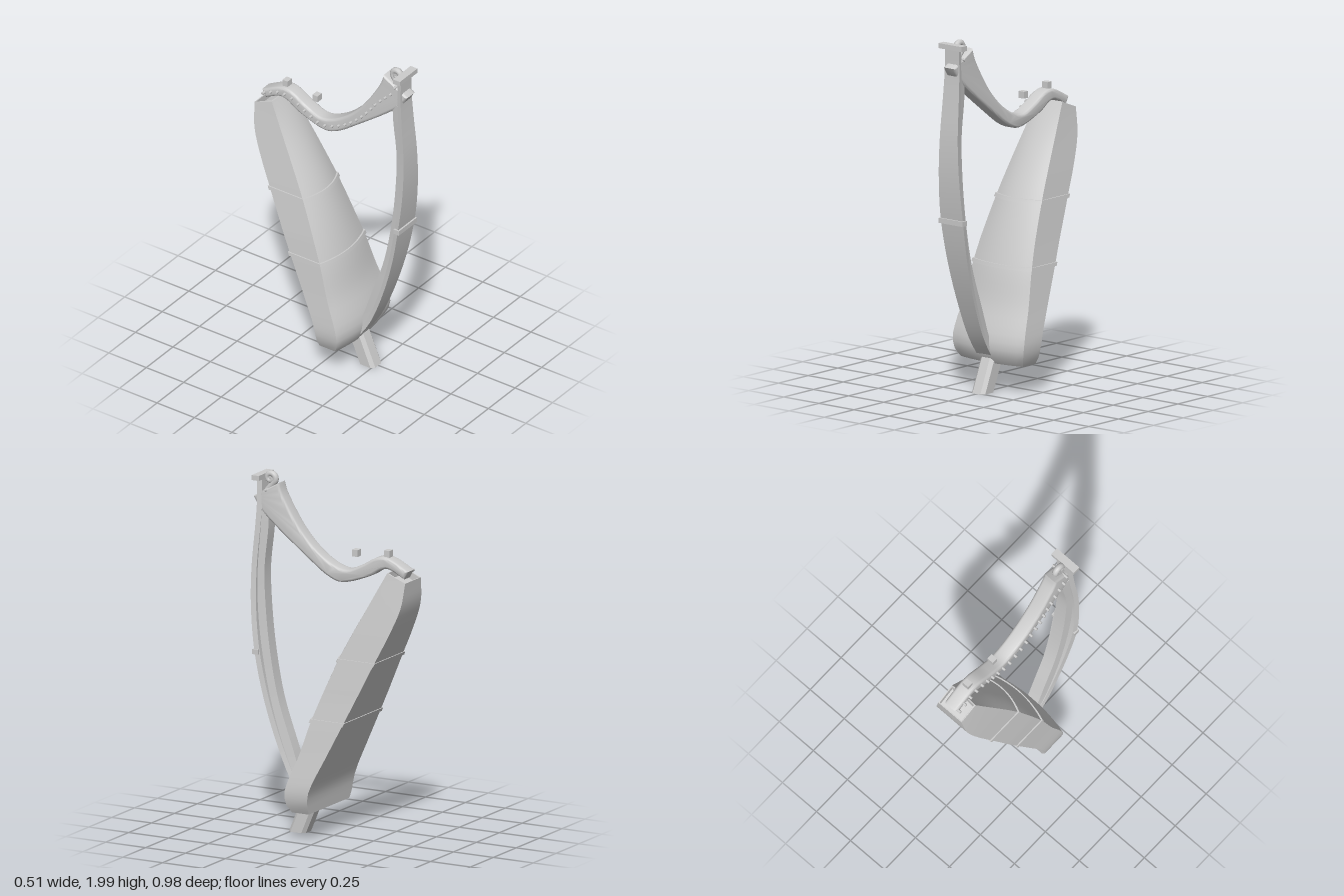
import * as THREE from 'three';
import { toCreasedNormals } from 'three/addons/utils/BufferGeometryUtils.js';

const CX = -0.01; // the neck and pillar sit slightly off the middle

// Smooth lookup in a table whose first column is the height
function table(rows) {
  const size = rows[0].length - 1;
  const curve = new THREE.CubicInterpolant(
    rows.map(r => r[0]), rows.flatMap(r => r.slice(1)), size, new Float32Array(size));
  return y => Array.from(curve.evaluate(y));
}

// Skin over closed rings, listed from bottom to top, with both ends capped
function loft(rings, crease = 0.6) {
  const n = rings[0].length;
  const pos = rings.flat(2);
  const idx = [];
  for (let i = 0; i < rings.length - 1; i++) {
    for (let j = 0; j < n; j++) {
      const k = (j + 1) % n;
      const a = i * n + j, b = i * n + k, c = b + n, d = a + n;
      idx.push(a, b, c, a, c, d);
    }
  }
  [0, rings.length - 1].forEach((r, end) => {
    const mid = pos.length / 3;
    for (let axis = 0; axis < 3; axis++) {
      pos.push(rings[r].reduce((s, p) => s + p[axis], 0) / n);
    }
    for (let j = 0; j < n; j++) {
      const a = r * n + j, b = r * n + (j + 1) % n;
      if (end) idx.push(mid, a, b); else idx.push(mid, b, a);
    }
  });
  const g = new THREE.BufferGeometry();
  g.setAttribute('position', new THREE.Float32BufferAttribute(pos, 3));
  g.setIndex(idx);
  return toCreasedNormals(g, crease);
}

const steps = (a, b, n) => Array.from({ length: n + 1 }, (_, i) => a + (b - a) * i / n);

// Sound box: height, front edge z, back z, half width, bulge of the front
const boxAt = table([
  [0.16, 0.135, 0.03, 0.222, 0.03],
  [0.20, 0.158, 0.027, 0.242, 0.032],
  [0.27, 0.165, 0.02, 0.254, 0.034],
  [0.33, 0.15, 0.0, 0.25, 0.034],
  [0.47, 0.095, -0.067, 0.232, 0.035],
  [0.68, 0.03, -0.168, 0.207, 0.04],
  [1.02, -0.11, -0.33, 0.162, 0.042],
  [1.21, -0.205, -0.42, 0.135, 0.034],
  [1.37, -0.29, -0.473, 0.111, 0.02],
  [1.53, -0.375, -0.488, 0.086, 0.004],
]);

function boxRing(y, grow = 0, drop = 0) {
  const [ze, zb, w, bulge] = boxAt(y);
  const cx = -0.015 * Math.min(1, Math.max(0, (y - 0.3) / 0.5));
  const hw = w + grow;
  const yBack = y - 0.045 * Math.max(0, (y - 1.2) / 0.33);
  const ring = steps(-1, 1, 12).map(u =>
    [cx + u * hw, y - drop, ze + grow + bulge * (1 - u * u)]);
  ring.push([cx + hw, yBack - drop, zb - grow], [cx - hw, yBack - drop, zb - grow]);
  return ring;
}

// Pillar: height, front z, back z, half width of the front plate
const pillarAt = table([
  [0.17, 0.165, 0.125, 0.052],
  [0.30, 0.25, 0.185, 0.055],
  [0.47, 0.324, 0.245, 0.06],
  [0.73, 0.406, 0.334, 0.07],
  [1.00, 0.46, 0.387, 0.079],
  [1.24, 0.485, 0.413, 0.072],
  [1.45, 0.486, 0.42, 0.064],
  [1.70, 0.466, 0.395, 0.056],
  [1.83, 0.458, 0.395, 0.052],
  [1.96, 0.46, 0.40, 0.05],
]);

const rect = (y, w, zf, zb, wb = w) => [
  [CX - w, y, zf], [CX + w, y, zf], [CX + wb, y, zb], [CX - wb, y, zb]];

export function createModel() {
  const harp = new THREE.Group();
  harp.name = 'harp';
  const grey = new THREE.MeshStandardMaterial({ color: 0xcccccc });
  grey.name = 'grey';

  const add = (name, geometry, x = 0, y = 0, z = 0) => {
    const mesh = new THREE.Mesh(geometry, grey);
    mesh.name = name;
    mesh.position.set(x, y, z);
    harp.add(mesh);
    return mesh;
  };

  // Sound box with a shallow recess in its top
  const boxRings = steps(0.16, 1.53, 32).map(y => boxRing(y));
  boxRings.push(boxRing(1.53, -0.006), boxRing(1.53, -0.006, 0.04));
  add('soundBox', loft(boxRings));

  // Raised bands around the sound box
  for (const y of [0.68, 1.025]) {
    add('soundBoxBand', loft([boxRing(y - 0.01, 0.007), boxRing(y + 0.01, 0.007)]));
  }

  // Pillar: wide front plate with a narrower rib behind it
  add('pillarPlate', loft(steps(0.17, 1.96, 40).map(y => {
    const [zf, , w] = pillarAt(y);
    return rect(y, w, zf, zf - 0.028, w - 0.008);
  })));
  add('pillarRib', loft(steps(0.17, 1.78, 36).map(y => {
    const [zf, zb] = pillarAt(y);
    return rect(y, 0.046, zf - 0.02, zb, 0.036);
  })));
  add('pillarBand', new THREE.BoxGeometry(0.17, 0.028, 0.036), CX, 0.988, 0.452);
  add('pillarCap', new THREE.BoxGeometry(0.165, 0.028, 0.045), CX, 1.962, 0.452);

  // Neck: side outline swept across, with rounded edges
  const top = new THREE.SplineCurve([
    [0.33, 1.94], [0.30, 1.86], [0.19, 1.69], [0.06, 1.565], [-0.075, 1.505],
    [-0.18, 1.54], [-0.285, 1.597], [-0.365, 1.597], [-0.48, 1.54],
  ].map(p => new THREE.Vector2(...p)));
  const under = new THREE.SplineCurve([
    [-0.455, 1.495], [-0.365, 1.537], [-0.31, 1.53], [-0.235, 1.485], [-0.075, 1.433],
    [0.03, 1.46], [0.165, 1.555], [0.325, 1.676], [0.42, 1.756], [0.465, 1.81], [0.49, 1.85],
  ].map(p => new THREE.Vector2(...p)));
  const bevel = 0.016;
  const neck = new THREE.ExtrudeGeometry(
    new THREE.Shape([...top.getPoints(40), ...under.getPoints(44)]), {
      depth: 0.086 - 2 * bevel, bevelThickness: bevel, bevelSize: bevel,
      bevelOffset: -bevel, bevelSegments: 4,
    });
  neck.rotateY(-Math.PI / 2);
  neck.translate(0.035 - bevel, 0, 0);
  add('neck', toCreasedNormals(neck, 0.6));

  // Tuning pegs along one side of the neck
  const pegPath = new THREE.CatmullRomCurve3([
    [-0.46, 1.53], [-0.36, 1.57], [-0.28, 1.565], [-0.18, 1.512], [-0.075, 1.47],
    [0.06, 1.515], [0.19, 1.62], [0.3, 1.755], [0.385, 1.84],
  ].map(([z, y]) => new THREE.Vector3(-0.055, y, z)));
  const pegGeometry = new THREE.CylinderGeometry(0.008, 0.008, 0.03, 10);
  pegGeometry.rotateZ(Math.PI / 2);
  for (const p of pegPath.getSpacedPoints(21)) add('tuningPeg', pegGeometry, p.x, p.y, p.z);
  const pin = new THREE.CylinderGeometry(0.008, 0.008, 0.11, 10);
  pin.rotateZ(Math.PI / 2);
  add('topPin', pin, CX, 1.89, 0.41);

  // Small blocks above the neck
  add('neckBlock', new THREE.BoxGeometry(0.04, 0.038, 0.034), -0.008, 1.6, -0.138);
  add('neckBlock', new THREE.BoxGeometry(0.04, 0.038, 0.034), -0.008, 1.62, -0.338);

  // Curled scroll at the top of the neck
  const curl = steps(0, 1, 20).map(t => {
    const a = -0.9 + t * 7.5, r = 0.031 - 0.021 * t;
    return new THREE.Vector3(CX, 1.953 + r * Math.sin(a), 0.4 - r * Math.cos(a));
  });
  curl.unshift(new THREE.Vector3(CX, 1.86, 0.44));
  add('scroll', new THREE.TubeGeometry(new THREE.CatmullRomCurve3(curl), 60, 0.018, 10));
  const scrollCore = new THREE.CylinderGeometry(0.03, 0.03, 0.028, 20);
  scrollCore.rotateZ(Math.PI / 2);
  add('scrollCore', scrollCore, CX, 1.953, 0.4);

  // Slanted foot with chamfered corners
  const footRing = y => [
    [-0.028, 0.053], [0.028, 0.053], [0.047, 0.034], [0.047, -0.034],
    [0.028, -0.053], [-0.028, -0.053], [-0.047, -0.034], [-0.047, 0.034],
  ].map(([x, z]) => [x, y, z + 0.212 - 0.42 * y]);
  add('foot', loft([footRing(0), footRing(0.19)]));

  return harp;
}
